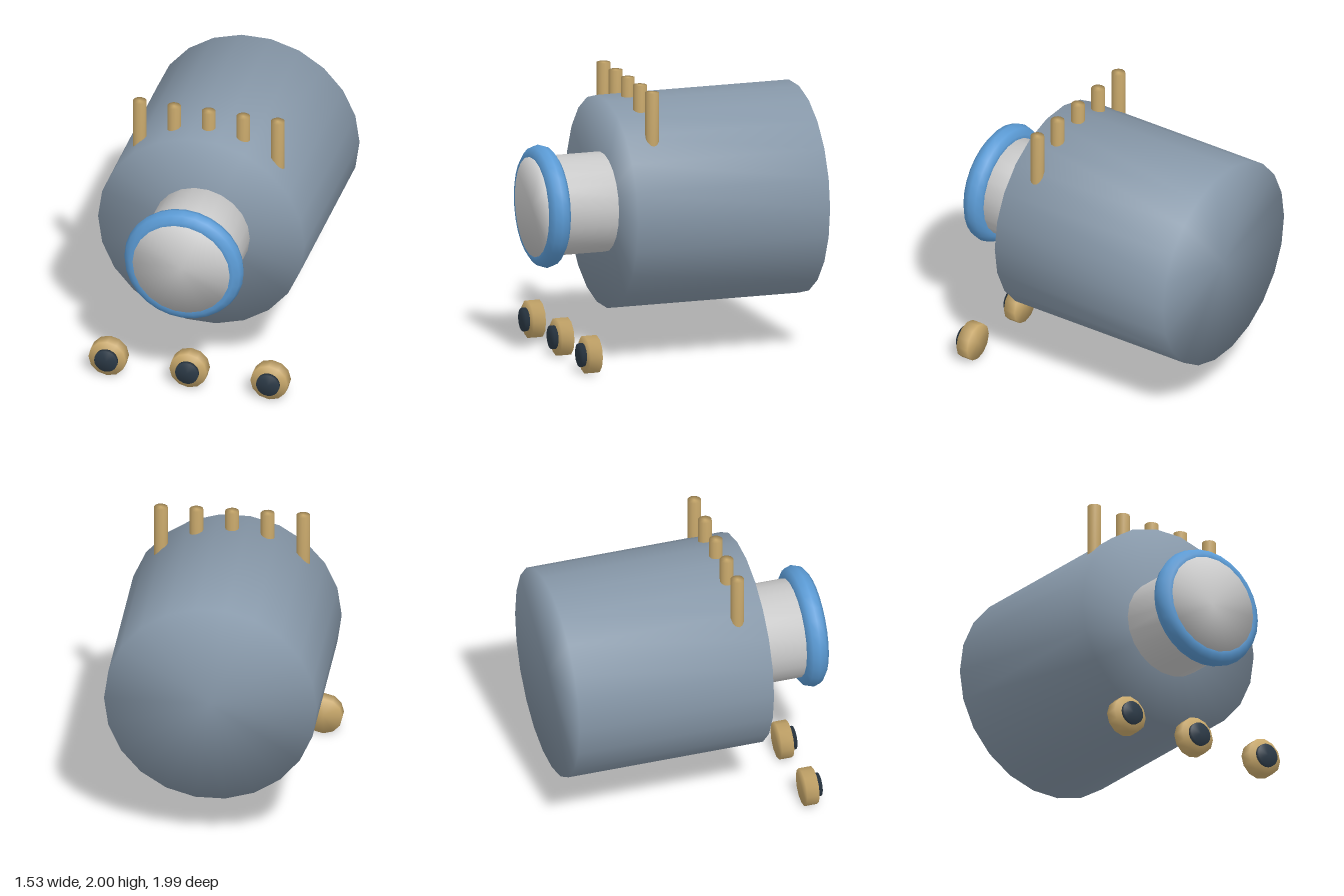
import * as THREE from 'three';
import { mergeVertices } from 'three/addons/utils/BufferGeometryUtils.js';

const material = (name, color) => {
  const m = new THREE.MeshStandardMaterial({ color });
  m.name = name;
  return m;
};

// Closed cylinder whose normals blend softly over the rim
function softCylinder(radius, length, sides) {
  const g = new THREE.CylinderGeometry(radius, radius, length, sides, 1, false, Math.PI / 2);
  g.deleteAttribute('uv');
  g.deleteAttribute('normal');
  const soft = mergeVertices(g);
  soft.computeVertexNormals();
  return soft;
}

// Cylinder lying along z between two depths
function drum(radius, back, front, sides) {
  return softCylinder(radius, front - back, sides)
    .rotateX(Math.PI / 2)
    .translate(0, 0, (front + back) / 2);
}

export function createModel() {
  const model = new THREE.Group();
  model.name = 'model';

  const slate = material('slate grey', 0x8899aa);
  const silver = material('light grey', 0xcccccc);
  const blue = material('blue', 0x5b9bd5);
  const brass = material('brass', 0xc9a96c);
  const dark = material('dark navy', 0x2c3a47);

  const add = (name, geometry, mat, x, y, z) => {
    const mesh = new THREE.Mesh(geometry, mat);
    mesh.name = name;
    mesh.position.set(x, y, z);
    model.add(mesh);
  };

  // Main drum, front barrel and the ring around its mouth
  const axisY = 1.105;
  add('body', drum(0.765, -0.995, 0.46, 22), slate, 0, axisY, 0);
  add('barrel', drum(0.36, 0.4, 0.992, 22), silver, 0, axisY, 0);
  add('barrelRing', new THREE.TorusGeometry(0.36, 0.082, 10, 28), blue, 0, axisY, 0.912);

  // Row of upright pins sunk into the top of the drum
  const pin = softCylinder(0.05, 0.5, 12);
  for (let i = -2; i <= 2; i++) add('pin', pin, brass, i * 0.256, 1.75, 0.265);

  // Three knobs with dark discs in front of them
  const knob = drum(0.138, 0.718, 0.81, 12);
  const disc = drum(0.085, 0.82, 0.85, 20);
  for (const x of [-0.6, 0, 0.6]) {
    add('knob', knob, brass, x, 0.14, 0);
    add('knobDisc', disc, dark, x, 0.14, 0);
  }

  return model;
}
